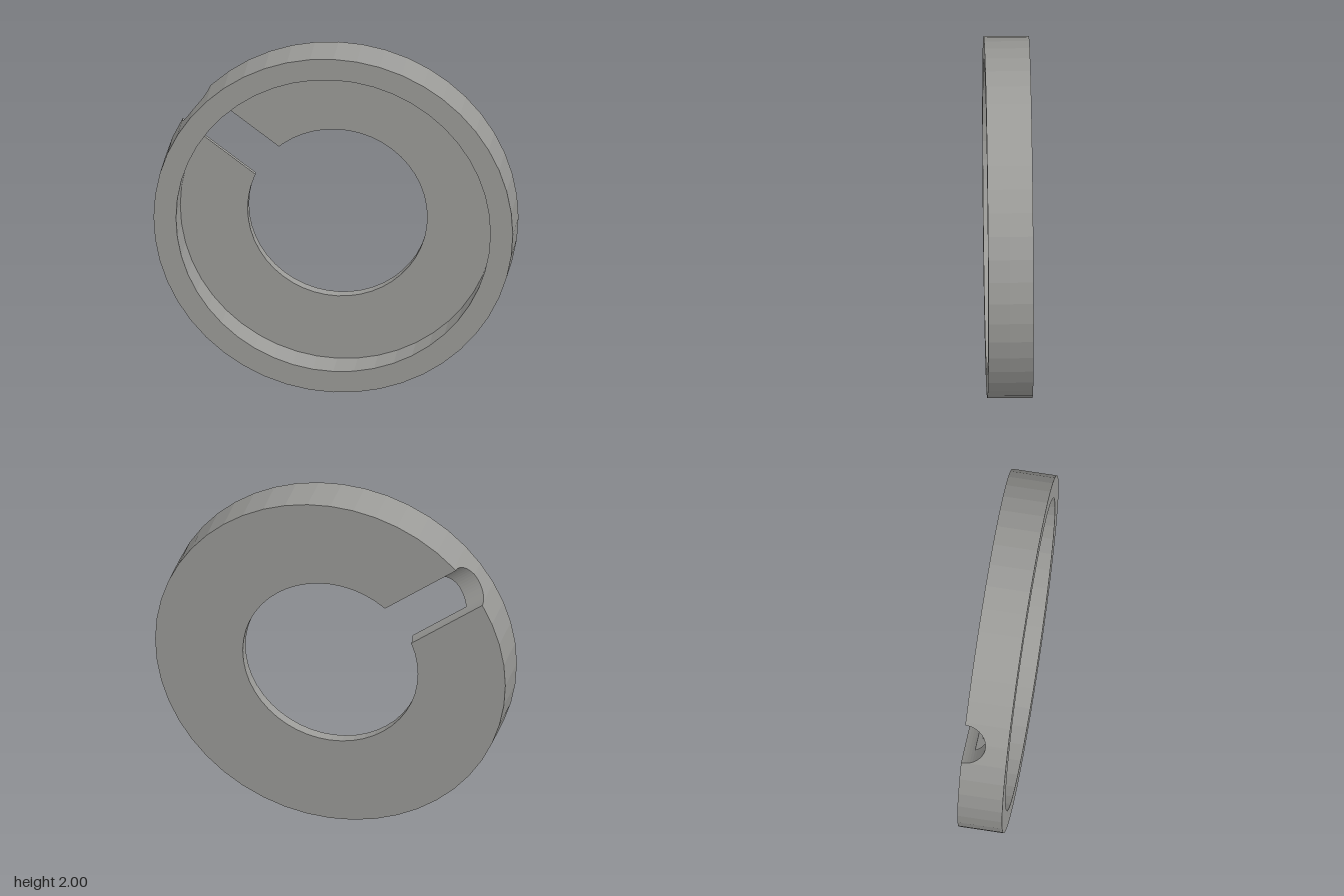
import * as THREE from 'three';
import { mergeGeometries } from 'three/addons/utils/BufferGeometryUtils.js';

const OUTER = 1, RECESS = 0.875, HOLE = 0.5;      // radii
const BACK = -0.125, FLOOR = -0.0625, FRONT = 0.125; // z levels
const GROOVE = 0.125;                              // groove radius, axis on the back face
const SLOT = GROOVE * Math.sin(Math.PI / 3);       // half width where it breaks through the floor
const AIM = Math.atan2(0.6, -0.8);                 // direction the groove points
const STEP = Math.PI / 24;                         // 48-sided rings

// Radius of the 48-sided ring at angle t
const ringRadius = (r, t) => {
  const m = ((t % STEP) + STEP) % STEP;
  return r * Math.cos(STEP / 2) / Math.cos(m - STEP / 2);
};
const point = (r, t, z = 0) => {
  const q = ringRadius(r, t);
  return new THREE.Vector3(q * Math.cos(t), q * Math.sin(t), z);
};
// Angle on a ring that lies at distance v across the groove
const angleAt = (r, v) => {
  let a = Math.asin(v / r);
  for (let i = 0; i < 4; i++) a = Math.asin(v / ringRadius(r, AIM + a));
  return AIM + a;
};
const grooveZ = (v) => BACK + Math.sqrt(Math.max(0, GROOVE * GROOVE - v * v));

// Positions across the groove, between two angles of its half circle in degrees
const across = (from, to) => {
  const list = [];
  for (let d = from; d <= to + 1e-6; d += 7.5) list.push(GROOVE * Math.sin(d * Math.PI / 180));
  return list;
};
// Angles of a ring from one side of the groove round to the other
const openArc = (r, half) => {
  const start = angleAt(r, half), end = angleAt(r, -half) + 2 * Math.PI;
  const list = [start];
  for (let k = Math.ceil(start / STEP + 1e-4); k * STEP < end - 1e-4; k++) list.push(k * STEP);
  return [...list, end];
};

// Flat-shaded strip of quads between two rows of points
const strip = (a, b) => {
  const p = [];
  for (let i = 0; i + 1 < a.length; i++) {
    for (const v of [a[i], a[i + 1], b[i + 1], a[i], b[i + 1], b[i]]) p.push(v.x, v.y, v.z);
  }
  const g = new THREE.BufferGeometry();
  g.setAttribute('position', new THREE.Float32BufferAttribute(p, 3));
  g.computeVertexNormals();
  return g;
};
const arcWall = (r, angles, low, high, inward) => {
  const a = angles.map((t, i) => point(r, t, low(i)));
  const b = angles.map((t) => point(r, t, high));
  return inward ? strip(b, a) : strip(a, b);
};

// Flat face from a shape at height z
const face = (shape, z, flip) => {
  const g = new THREE.ShapeGeometry(shape);
  g.translate(0, 0, z);
  if (flip) g.index.array.reverse();
  const flat = g.toNonIndexed();
  flat.deleteAttribute('uv');
  flat.computeVertexNormals();
  return flat;
};
// Flat C-shaped ring cut open by the slot
const openRing = (inner, outer, half) => new THREE.Shape([
  ...openArc(outer, half).map((t) => point(outer, t)),
  ...openArc(inner, half).reverse().map((t) => point(inner, t)),
]);
// Groove surface between two rings
const trough = (inner, outer, vs) => strip(
  vs.map((v) => point(inner, angleAt(inner, v), grooveZ(v))),
  vs.map((v) => point(outer, angleAt(outer, v), grooveZ(v))),
);

export function createModel() {
  const group = new THREE.Group();
  const grey = new THREE.MeshStandardMaterial({ color: 0x9b9b98 });
  grey.name = 'grey';
  const add = (name, ...parts) => {
    const mesh = new THREE.Mesh(parts.length > 1 ? mergeGeometries(parts) : parts[0], grey);
    mesh.name = name;
    mesh.position.y = 1;
    group.add(mesh);
  };

  const wide = across(-90, 90), narrow = across(-60, 60);

  // Outer wall, notched where the groove leaves it
  add('outerWall',
    arcWall(OUTER, openArc(OUTER, GROOVE), () => BACK, FRONT, false),
    arcWall(OUTER, wide.map((v) => angleAt(OUTER, v)), (i) => grooveZ(wide[i]), FRONT, false));

  // Wall of the front recess
  add('recessWall',
    arcWall(RECESS, openArc(RECESS, SLOT), () => FLOOR, FRONT, true),
    arcWall(RECESS, narrow.map((v) => angleAt(RECESS, v)), (i) => grooveZ(narrow[i]), FRONT, true));

  // Front face of the rim
  const ring = (r) => Array.from({ length: 48 }, (_, k) => point(r, k * STEP));
  const rim = new THREE.Shape(ring(OUTER));
  rim.holes.push(new THREE.Path(ring(RECESS)));
  add('rimFace', face(rim, FRONT, false));

  // Slotted plate: recess floor, back face and the wall of the centre hole
  add('recessFloor', face(openRing(HOLE, RECESS, SLOT), FLOOR, false));
  add('backFace', face(openRing(HOLE, OUTER, GROOVE), BACK, true));
  const holeAngles = openArc(HOLE, GROOVE);
  add('holeWall',
    arcWall(HOLE, holeAngles, () => BACK, FLOOR, true),
    ...[across(60, 90), across(-90, -60)].map((vs) =>
      strip(vs.map((v) => point(HOLE, angleAt(HOLE, v), FLOOR)),
        vs.map((v) => point(HOLE, angleAt(HOLE, v), grooveZ(v))))));

  // Half-round groove across the back
  add('groove',
    trough(RECESS, OUTER, narrow),
    trough(HOLE, OUTER, across(60, 90)),
    trough(HOLE, OUTER, across(-90, -60)));

  return group;
}
